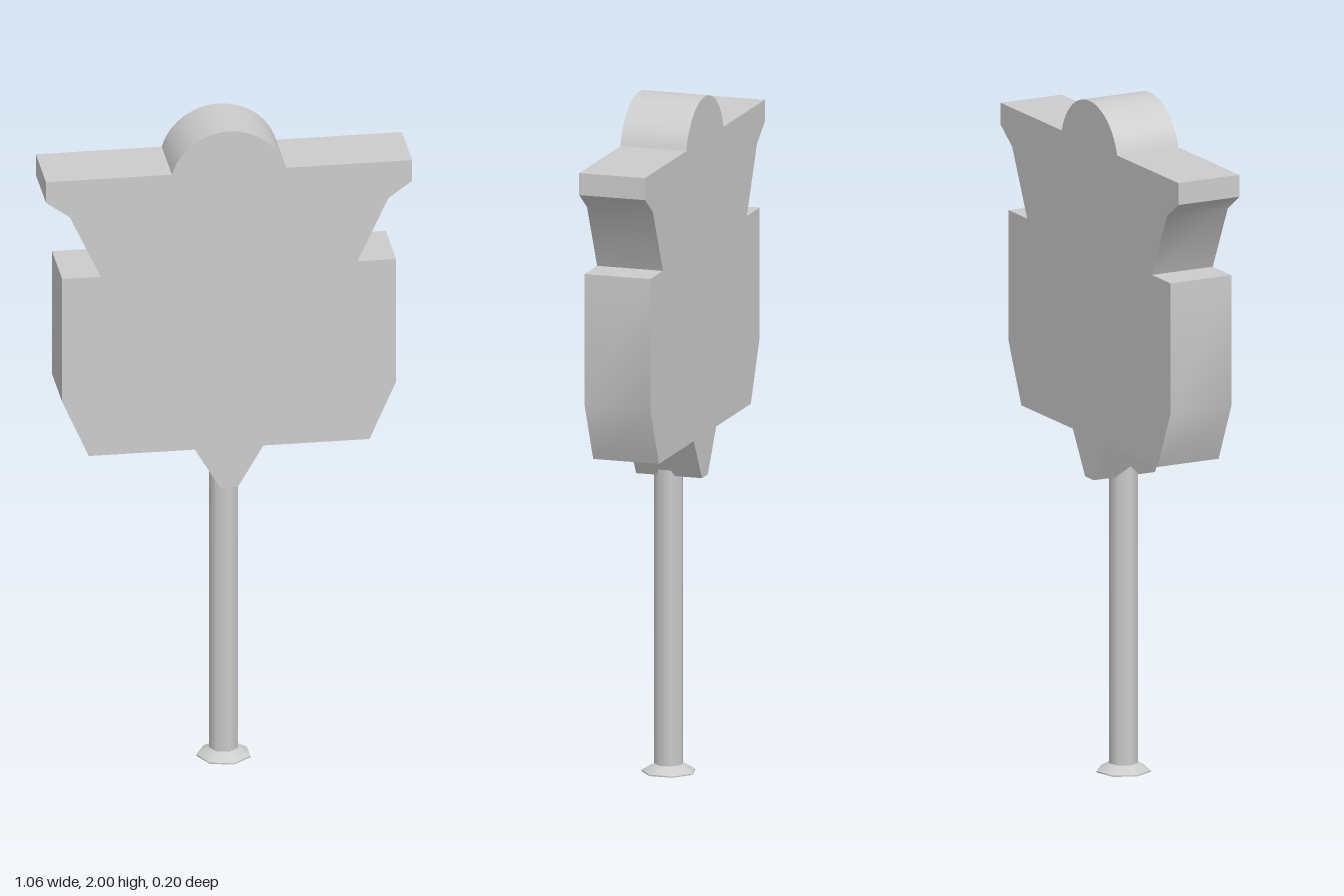
import * as THREE from 'three';
import { toCreasedNormals } from 'three/addons/utils/BufferGeometryUtils.js';

export function createModel() {
  const model = new THREE.Group();
  const grey = new THREE.MeshStandardMaterial({ color: 0xcccccc });
  grey.name = 'plain grey';

  const add = (name, geometry, x, y, z) => {
    const mesh = new THREE.Mesh(geometry, grey);
    mesh.name = name;
    mesh.position.set(x, y, z);
    model.add(mesh);
  };

  // Shield-shaped sign: right half of the outline, from the tip to the dome
  const half = [
    [0.026, 0.88], [0.1, 1.005], [0.408, 1.005], [0.485, 1.18], [0.485, 1.567],
    [0.373, 1.567], [0.463, 1.76], [0.532, 1.81], [0.532, 1.875], [0.166, 1.875],
  ];
  // Dome arc over the top edge
  const radius = 0.173, centreY = 2 - radius;
  const start = Math.atan2(1.875 - centreY, 0.166);
  const steps = 24;
  const dome = [];
  for (let i = 1; i < steps; i++) {
    const a = start + (Math.PI - 2 * start) * i / steps;
    dome.push([radius * Math.cos(a), centreY + radius * Math.sin(a)]);
  }
  const mirrored = half.map(([x, y]) => [-x, y]).reverse();
  const outline = [...half, ...dome, ...mirrored].map(([x, y]) => new THREE.Vector2(x, y));
  const sign = new THREE.ExtrudeGeometry(new THREE.Shape(outline), { depth: 0.2, bevelEnabled: false });
  add('signBoard', toCreasedNormals(sign, THREE.MathUtils.degToRad(31)), 0, 0, -0.1);

  // Seven-sided post standing on a small flared foot
  const x = -0.002, z = 0.01, sides = 7, turn = -Math.PI / 2;
  const column = (top, bottom, height, open) =>
    new THREE.CylinderGeometry(top, bottom, height, sides, 1, open, turn);
  add('post', column(0.043, 0.043, 0.9, true), x, 0.475, z);
  add('footFlare', column(0.043, 0.08, 0.021, true), x, 0.0145, z);
  add('footRim', column(0.08, 0.08, 0.004, false), x, 0.002, z);

  return model;
}
